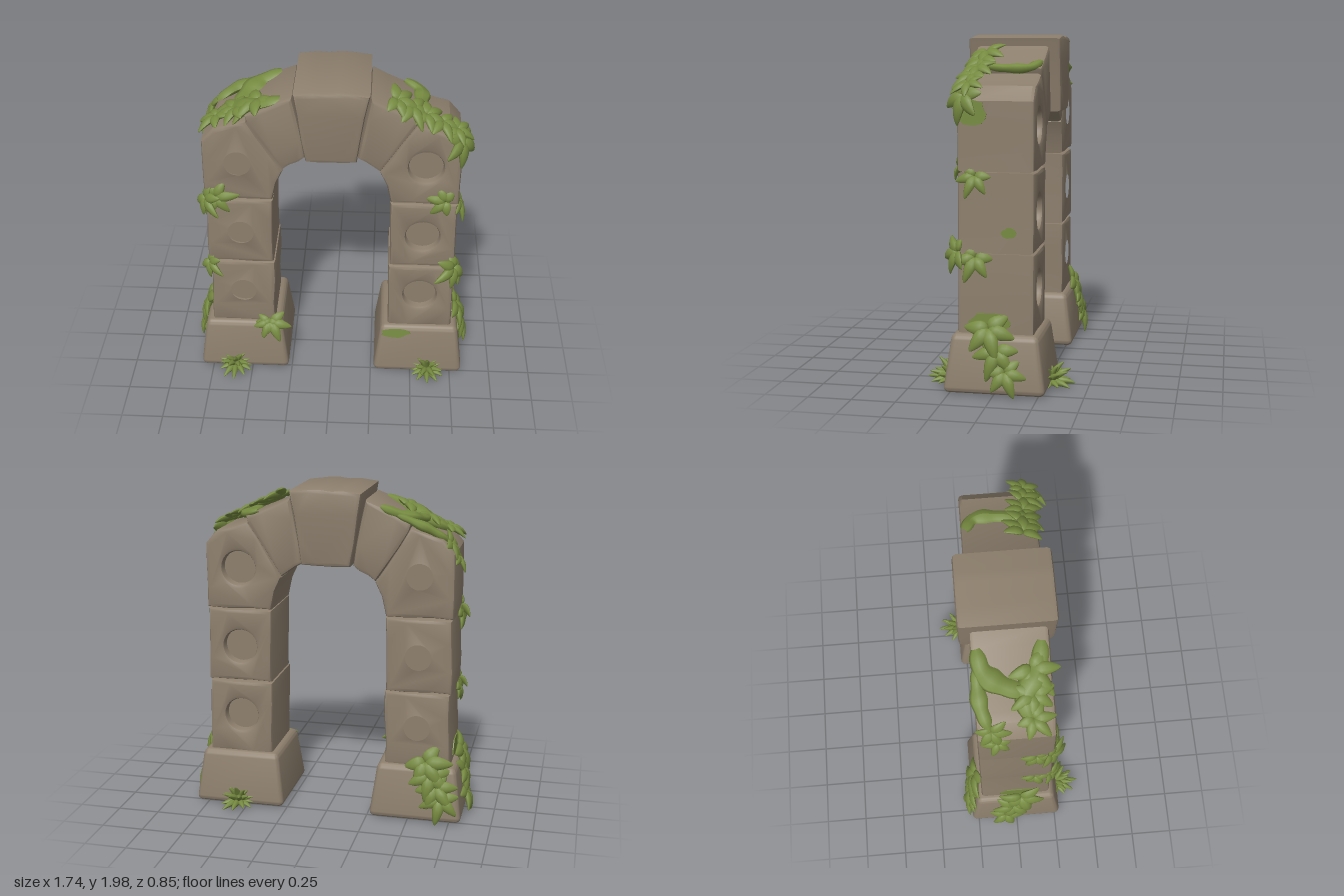
import * as THREE from 'three';
import { mergeGeometries, toCreasedNormals } from 'three/addons/utils/BufferGeometryUtils.js';
import { RoundedBoxGeometry } from 'three/addons/geometries/RoundedBoxGeometry.js';

const stone = new THREE.MeshStandardMaterial({ color: 0x8d7f6d });
stone.name = 'stone';
const green = new THREE.MeshStandardMaterial({ color: 0x768a40 });
green.name = 'leafGreen';

const V = (x, y, z) => new THREE.Vector3(x, y, z);
const { lerp } = THREE.MathUtils;

// small seeded random, from -1 to 1
let seed = 7;
const rand = () => {
  seed = (seed * 16807) % 2147483647;
  return (seed / 2147483647) * 2 - 1;
};

function addMesh(parent, name, geo, mat) {
  const m = new THREE.Mesh(geo, mat);
  m.name = name;
  parent.add(m);
  return m;
}

// bevelled stone with slightly worn edges and an optional round pocket front and back
function block(parent, name, pts, z0, z1, pocket) {
  const b = 0.022;
  const outline = [];
  pts.forEach(([x, y], i) => {
    const [nx, ny] = pts[(i + 1) % pts.length];
    const len = Math.hypot(nx - x, ny - y);
    outline.push(new THREE.Vector2(x, y));
    if (len < 0.15) return;
    for (const t of [0.3, 0.68]) {
      const k = (rand() * 0.006) / len;
      outline.push(new THREE.Vector2(lerp(x, nx, t) - (ny - y) * k, lerp(y, ny, t) + (nx - x) * k));
    }
  });
  const shape = new THREE.Shape(outline);
  if (pocket) {
    const hole = new THREE.Path();
    hole.absarc(pocket[0], pocket[1], 0.1, 0, Math.PI * 2, true);
    shape.holes.push(hole);
  }
  const geo = new THREE.ExtrudeGeometry(shape, {
    depth: z1 - z0 - 2 * b, bevelThickness: b, bevelSize: b, bevelOffset: -b, bevelSegments: 2, curveSegments: 16,
  });
  geo.translate(0, 0, z0 + b);
  addMesh(parent, name, toCreasedNormals(geo, 0.6), stone);
  if (pocket) {
    const floor = new THREE.CylinderGeometry(0.11, 0.11, z1 - z0 - 0.11, 28);
    floor.rotateX(Math.PI / 2).translate(pocket[0], pocket[1], (z0 + z1) / 2);
    addMesh(parent, name + 'PocketFloor', floor, stone);
  }
}

// one pointed leaf lobe: grows along +y, faces +z, tip droops
function lobe(length, width, droop) {
  const g = new THREE.SphereGeometry(1, 10, 8);
  const p = g.attributes.position;
  for (let i = 0; i < p.count; i++) {
    const s = (p.getY(i) + 1) / 2;
    const taper = 1.15 - 0.7 * s;
    p.setXYZ(i, p.getX(i) * width * taper, s * length,
      p.getZ(i) * length * 0.17 * taper + length * (0.25 * s - droop * s * s));
  }
  g.computeVertexNormals();
  return g;
}

// palmate leaf on a surface with the given normal, middle lobe along dir
function leaf(parent, pos, normal, dir, size, { count = 5, fan = 1.9, lift = 0.1, slim = 0.26, droop = 0.4 } = {}) {
  const parts = [];
  for (let i = 0; i < count; i++) {
    const a = (i / (count - 1)) * 2 - 1;
    const len = size * (1 - 0.3 * Math.abs(a)) * (1 + 0.08 * rand());
    const g = lobe(len, size * slim, droop);
    g.rotateX(lift + 0.1 * rand()).rotateZ(-a * fan);
    parts.push(g);
  }
  const n = normal.clone().normalize();
  const d = dir.clone().addScaledVector(n, -dir.dot(n)).normalize();
  const m = addMesh(parent, 'ivyLeaf', mergeGeometries(parts), green);
  m.quaternion.setFromRotationMatrix(new THREE.Matrix4().makeBasis(d.clone().cross(n), d, n));
  m.position.copy(pos);
}

// row of leaves from one point to another, shrinking a little and swinging side to side
function trail(parent, from, to, normal, dir, size, count) {
  const side = dir.clone().cross(normal).normalize();
  for (let i = 0; i < count; i++) {
    const t = i / (count - 1);
    const swing = (i % 2 ? 0.4 : -0.4) + 0.15 * rand();
    leaf(parent, from.clone().lerp(to, t), normal, dir.clone().addScaledVector(side, swing), size * (1 - 0.2 * t));
  }
}

// leaves wrapped round the outer front corner of a pillar, starting at t0 (0 front, 1 side)
function cornerBunch(parent, s, y, count, t0, size) {
  for (let i = 0; i < count; i++) {
    const t = lerp(t0, 1, i / (count - 1));
    const a = t * 1.5;
    leaf(parent, V(s * Math.min(0.66 + 0.16 * t, 0.735), y - 0.05 * t, Math.min(0.21, 0.29 - 0.18 * t)),
      V(s * Math.sin(a), 0.25, Math.cos(a)), V(s * (t - 1), 0.2 - t, 0.3 * t), size);
  }
}

// fern-like tuft on the ground, fanning away from the stone in three tiers
function tuft(parent, x, z, out) {
  [0.12, 0.6, 1.05].forEach((lift, i) => {
    leaf(parent, V(x, 0.048, z), V(0, 1, 0), V(0, 0, out), 0.145,
      { fan: 1.5, slim: 0.16, droop: 0.35, count: 7 - i, lift });
  });
}

// height of the outer edge of the arch
function topY(x) {
  const ax = Math.abs(x);
  return 1.945 - 0.42 * (ax - 0.2) - 0.7 * Math.max(0, ax - 0.66);
}

// low moss strand lying over the top of the arch
function mossStrand(parent, xz, radius) {
  const path = new THREE.CatmullRomCurve3(xz.map(([x, z]) => V(x, topY(x), z)));
  const g = new THREE.TubeGeometry(path, 20, radius, 8);
  const p = g.attributes.position;
  const c = V(0, 0, 0);
  const v = V(0, 0, 0);
  for (let i = 0; i < p.count; i++) {
    const t = Math.floor(i / 9) / 20;
    path.getPointAt(t, c);
    v.fromBufferAttribute(p, i).sub(c);
    v.multiplyScalar(0.1 + 0.9 * Math.sin(Math.PI * (0.1 + 0.8 * t)) + 0.1 * Math.sin(t * 17));
    p.setXYZ(i, c.x + v.x, c.y + v.y * 0.55, c.z + v.z);
  }
  g.computeVertexNormals();
  addMesh(parent, 'mossStrand', g, green);
}

// thin irregular moss plate lying on a face
function mossPatch(parent, pos, normal, w, h) {
  const pts = [];
  for (let i = 0; i < 14; i++) {
    const a = (i / 14) * Math.PI * 2;
    const r = 1 + 0.16 * rand();
    pts.push(new THREE.Vector2(Math.cos(a) * w * r, Math.sin(a) * h * r));
  }
  const g = new THREE.ExtrudeGeometry(new THREE.Shape(pts), { depth: 0.006, bevelEnabled: false });
  const m = addMesh(parent, 'mossPatch', g, green);
  m.position.copy(pos);
  m.lookAt(pos.clone().add(normal));
}

export function createModel() {
  const model = new THREE.Group();
  model.name = 'mossyStoneArch';
  const stones = new THREE.Group();
  stones.name = 'stones';
  const plants = new THREE.Group();
  plants.name = 'plants';
  model.add(stones, plants);

  // pillars and arch, mirrored
  for (const s of [1, -1]) {
    const side = s > 0 ? 'left' : 'right';
    const mir = (pts) => pts.map(([x, y]) => [x * s, y]);

    const base = new RoundedBoxGeometry(0.56, 0.33, 0.58, 3, 0.035);
    const p = base.attributes.position;
    for (let i = 0; i < p.count; i++) {
      const k = 0.92 - p.getY(i) * 0.48;
      p.setX(i, p.getX(i) * k);
      p.setZ(i, p.getZ(i) * k);
    }
    addMesh(stones, side + 'Base', toCreasedNormals(base, 0.7), stone).position.set(0.545 * s, 0.2, -0.005);

    [[0.35, 0.81, 0.595], [0.815, 1.26, 1.03]].forEach(([y0, y1, hole], i) => {
      block(stones, side + (i ? 'MiddleBlock' : 'LowerBlock'),
        mir([[0.35, y0], [0.742, y0], [0.732, y1], [0.343, y1]]), -0.22, 0.21, [0.54 * s, hole]);
    });
    block(stones, side + 'UpperBlock', mir([[0.345, 1.265], [0.74, 1.265], [0.74, 1.65], [0.67, 1.73],
      [0.48, 1.79], [0.28, 1.465], [0.32, 1.38]]), -0.22, 0.21, [0.54 * s, 1.51]);
    block(stones, side + 'ArchStone',
      mir([[0.15, 1.555], [0.28, 1.47], [0.475, 1.77], [0.49, 1.82], [0.22, 1.94]]), -0.22, 0.205);

    // ivy down the outer side of the base, and a ground tuft in front
    trail(plants, V(0.77 * s, 0.4, 0.03), V(0.82 * s, 0.17, -0.07), V(s, 0.3, 0), V(0.2 * s, -1, 0), 0.19, 3);
    tuft(plants, 0.605 * s, 0.27, 1);
    mossPatch(plants, V(0.742 * s, 0.43, 0.02), V(s, 0, 0), 0.12, 0.06);
  }
  block(stones, 'keystone', [[-0.145, 1.56], [0.145, 1.56], [0.215, 1.985], [0.1, 2], [-0.1, 2], [-0.21, 1.985]], -0.28, 0.26);
  tuft(plants, 0.55, -0.28, -1);

  // moss over the arch
  mossStrand(plants, [[-0.3, -0.19], [-0.42, -0.16], [-0.5, -0.04], [-0.53, 0.08]], 0.065);
  mossStrand(plants, [[-0.28, 0.16], [-0.42, 0.13], [-0.55, 0.05], [-0.68, 0.08]], 0.065);
  mossStrand(plants, [[-0.4, -0.2], [-0.58, -0.19], [-0.7, -0.15]], 0.045);
  mossStrand(plants, [[0.41, -0.2], [0.49, -0.15], [0.5, -0.03], [0.48, 0.1]], 0.05);

  // ivy over the shoulders of the arch
  trail(plants, V(-0.42, 1.86, 0.1), V(-0.66, 1.75, 0.09), V(-0.5, 1, 0.1), V(-1, -0.4, 0.4), 0.18, 3);
  trail(plants, V(-0.7, 1.7, -0.14), V(-0.74, 1.62, -0.11), V(-1, 0.5, 0), V(-0.5, -1, 0), 0.14, 2);
  trail(plants, V(0.36, 1.9, 0.12), V(0.7, 1.74, 0.15), V(0.5, 1, 0.4), V(0.8, -0.5, 0.5), 0.16, 5);
  leaf(plants, V(0.73, 1.68, 0.17), V(1, 0.3, 0.7), V(0, -1, 0.2), 0.18);

  // ivy on the pillars
  cornerBunch(plants, -1, 1.29, 3, 0.1, 0.14);
  cornerBunch(plants, -1, 0.83, 2, 0.5, 0.12);
  cornerBunch(plants, 1, 1.29, 2, 0, 0.13);
  cornerBunch(plants, 1, 0.84, 2, 0.45, 0.15);

  // ivy on the front and back of the right base
  trail(plants, V(-0.37, 0.37, 0.235), V(-0.39, 0.37, 0.24), V(0, 0.5, 1), V(0, -1, 0.3), 0.14, 2);
  trail(plants, V(-0.6, 0.4, -0.25), V(-0.7, 0.19, -0.29), V(-0.1, 0.3, -1), V(-0.1, -1, 0), 0.19, 4);

  // flat moss on the faces
  mossPatch(plants, V(0.4, 0.325, 0.253), V(0, 0.15, 1), 0.085, 0.03);
  mossPatch(plants, V(0.736, 0.93, -0.08), V(1, 0, 0), 0.04, 0.03);
  mossPatch(plants, V(0.741, 1.58, 0.12), V(1, 0, 0), 0.08, 0.07);

  return model;
}
